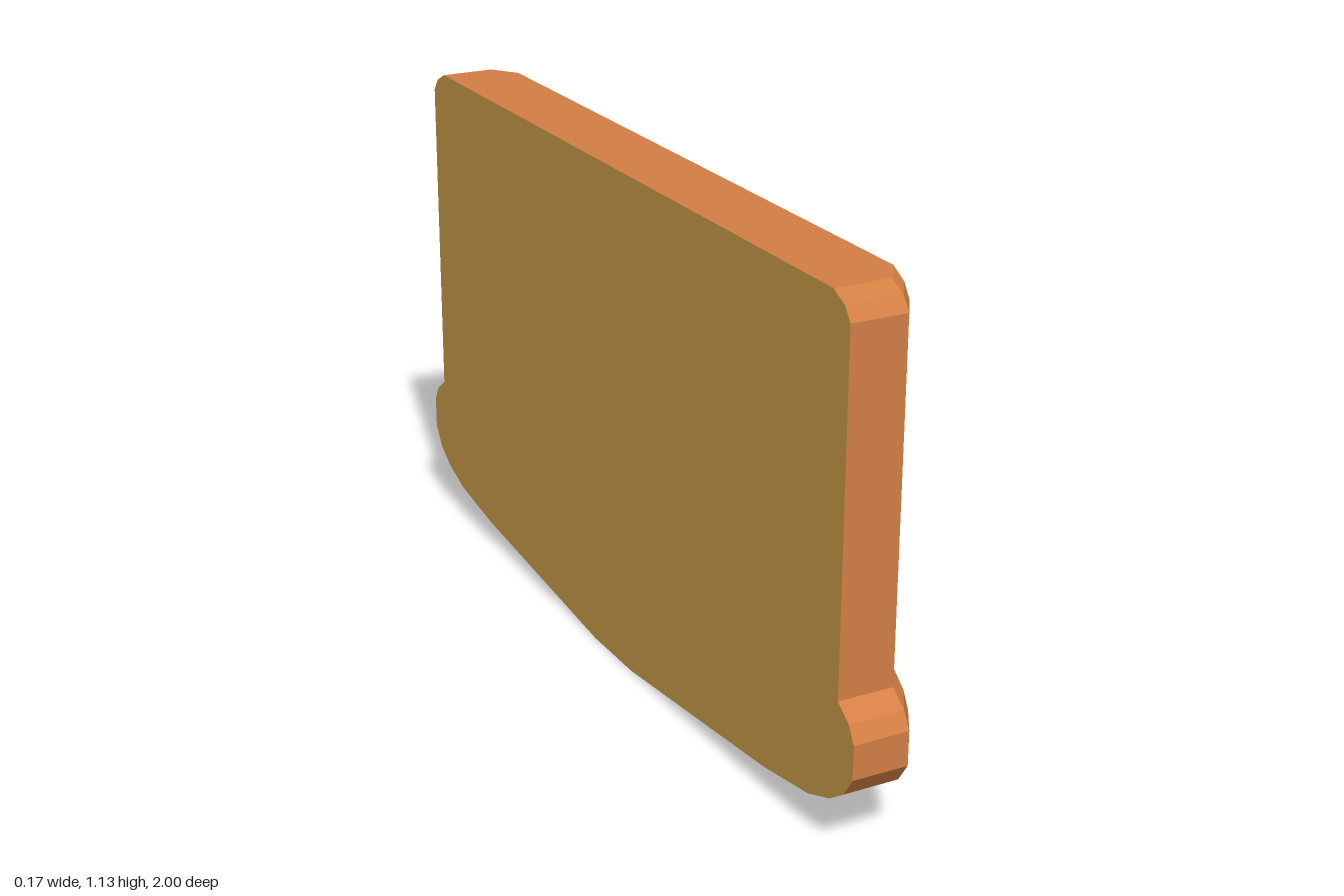
import * as THREE from 'three';

// Right half of the outline as [z, y], from the bottom middle up to the top
const HALF = [
  [0.09, 0], [0.67, 0.057], [0.84, 0.085], [0.92, 0.115], [0.97, 0.15], [1, 0.195],
  [1, 0.27], [0.98, 0.305], [0.94, 0.335], [0.94, 1.087], [0.92, 1.115], [0.88, 1.135],
];
const BACK = -0.083, SHOULDER = 0.04, RIM = 0.083, INSET = 0.93;

// Full counter-clockwise outline, narrowed along z
function outline(scale) {
  const mirrored = HALF.map(([z, y]) => [-z, y]).reverse();
  return [...HALF, ...mirrored].map(([z, y]) => [z * scale, y]);
}

// Band of faces through cross-sections given as { x, scale }
function loft(sections) {
  const rings = sections.map(({ x, scale }) => outline(scale).map(([z, y]) => [x, y, z]));
  const pos = [];
  for (let s = 0; s < rings.length - 1; s++) {
    const r0 = rings[s], r1 = rings[s + 1];
    for (let i = 0; i < r0.length; i++) {
      const j = (i + 1) % r0.length;
      pos.push(...r0[i], ...r1[i], ...r0[j], ...r0[j], ...r1[i], ...r1[j]);
    }
  }
  const geo = new THREE.BufferGeometry();
  geo.setAttribute('position', new THREE.Float32BufferAttribute(pos, 3));
  geo.computeVertexNormals();
  return geo;
}

// Flat panel filling the outline; side is +1 to face +x, -1 to face -x
function panel(name, x, scale, side, material) {
  const shape = new THREE.Shape(outline(scale).map(([z, y]) => new THREE.Vector2(z, y)));
  const geo = new THREE.ShapeGeometry(shape);
  geo.rotateY(side * Math.PI / 2);
  const mesh = new THREE.Mesh(geo, material);
  mesh.position.x = x;
  mesh.name = name;
  return mesh;
}

export function createModel() {
  const group = new THREE.Group();
  group.name = 'panelBoard';
  const orange = new THREE.MeshStandardMaterial({ color: 0xd47f45, flatShading: true });
  const gold = new THREE.MeshStandardMaterial({ color: 0xd4a24c, flatShading: true });

  // Edge, bevel to a sharp rim, then inner wall down to the recessed face
  const frame = new THREE.Mesh(loft([
    { x: BACK, scale: 1 },
    { x: SHOULDER, scale: 1 },
    { x: RIM, scale: INSET },
    { x: SHOULDER, scale: INSET },
  ]), orange);
  frame.name = 'frame';
  group.add(frame);

  group.add(panel('recessedFace', SHOULDER, INSET, 1, gold));
  group.add(panel('flatBackFace', BACK, 1, -1, gold));
  return group;
}
